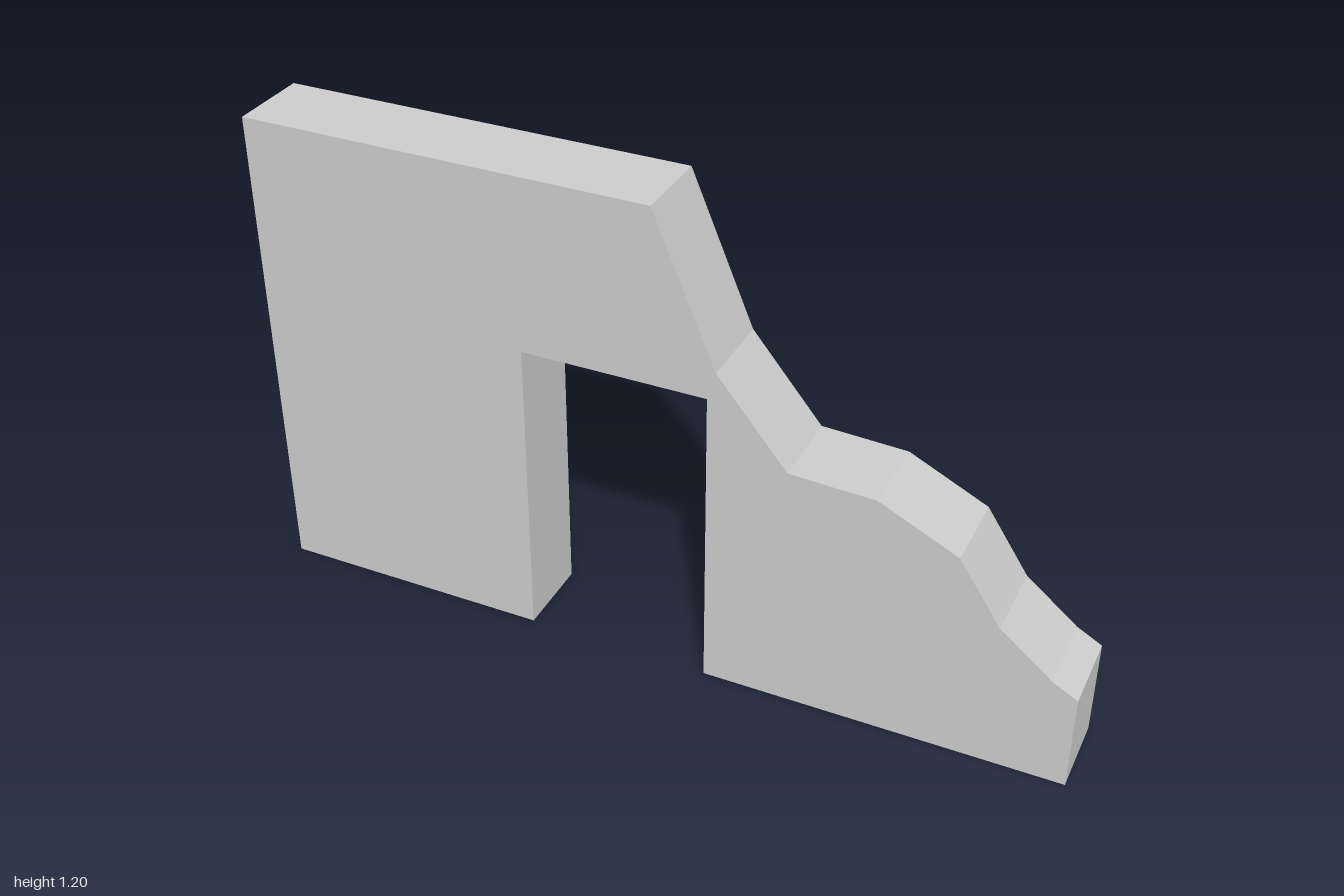
import * as THREE from 'three';

const DEPTH = 0.2;

// Wall outline: bottom, doorway notch, then the broken edge up to the flat top
const OUTLINE = [
  [-1, 0], [-0.324, 0], [-0.32, 0.772], [0.13, 0.772], [0.13, 0],
  [1, 0], [1, 0.245],
  [0.94, 0.278], [0.815, 0.38], [0.713, 0.535], [0.525, 0.626],
  [0.32, 0.635], [0.15, 0.842], [0, 1.204], [-1, 1.204],
];

export function createModel() {
  const model = new THREE.Group();
  model.name = 'ruinedWall';

  // Slab with a doorway and a crumbled right side
  const shape = new THREE.Shape(OUTLINE.map(([x, y]) => new THREE.Vector2(x, y)));
  const geometry = new THREE.ExtrudeGeometry(shape, { depth: DEPTH, bevelEnabled: false });
  geometry.translate(0, 0, -DEPTH / 2);

  const wall = new THREE.Mesh(
    geometry,
    new THREE.MeshStandardMaterial({ color: 0xcccccc, flatShading: true })
  );
  wall.name = 'brokenWallWithDoorway';
  model.add(wall);

  return model;
}
